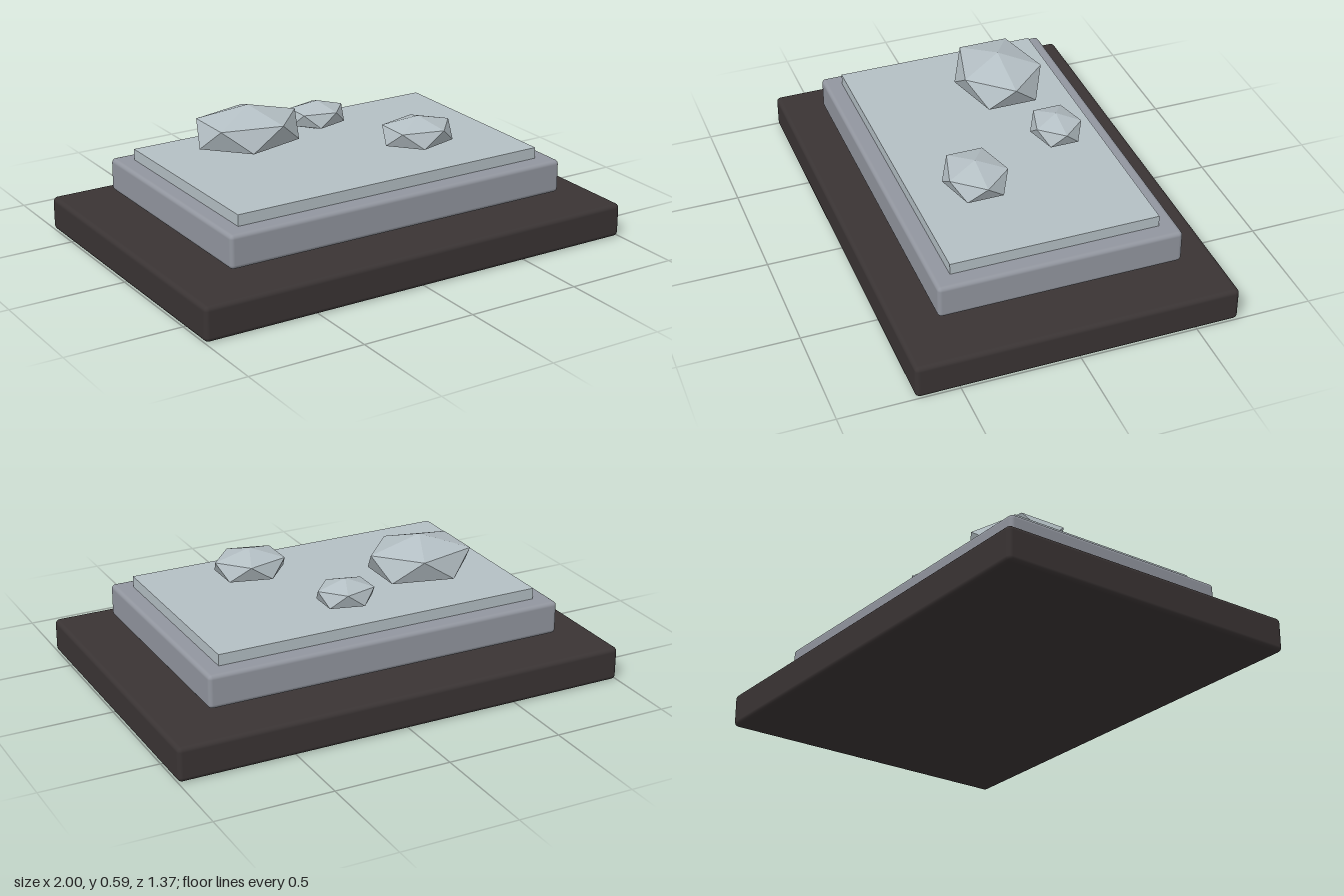
import * as THREE from 'three';
import { RoundedBoxGeometry } from 'three/addons/geometries/RoundedBoxGeometry.js';

const material = (name, color, flatShading = false) => {
  const m = new THREE.MeshStandardMaterial({ color, flatShading });
  m.name = name;
  return m;
};

// Upright icosahedron: poles on y, upper ring of five pointing at +x, lower ring at -x
function rockGeometry() {
  const r = 2 / Math.sqrt(5), h = 1 / Math.sqrt(5);
  const ring = (i, start, y) => {
    const a = start + (i * Math.PI * 2) / 5;
    return new THREE.Vector3(r * Math.cos(a), y, -r * Math.sin(a));
  };
  const top = new THREE.Vector3(0, 1, 0), bottom = new THREE.Vector3(0, -1, 0);
  const points = [];
  for (let i = 0; i < 5; i++) {
    const u0 = ring(i, 0, h), u1 = ring(i + 1, 0, h);
    const l0 = ring(i, Math.PI / 5, -h), l1 = ring(i + 1, Math.PI / 5, -h);
    points.push(top, u0, u1, u0, l0, u1, u1, l0, l1, bottom, l1, l0);
  }
  const g = new THREE.BufferGeometry().setFromPoints(points);
  g.computeVertexNormals();
  return g;
}

export function createModel() {
  const group = new THREE.Group();
  const wood = material('dark wood', 0x3a3434);
  const metal = material('grey tray', 0x92969f);
  const sand = material('pale sand', 0xb4bfc4);
  const stone = material('pale stone', 0xb4bfc4, true);

  const add = (name, geometry, mat, x, y, z) => {
    const mesh = new THREE.Mesh(geometry, mat);
    mesh.name = name;
    mesh.position.set(x, y, z);
    group.add(mesh);
    return mesh;
  };

  // Stacked slabs, the tray hovering just above the base
  add('base', new RoundedBoxGeometry(2, 0.147, 1.365, 2, 0.02), wood, 0, 0.0735, 0);
  add('tray', new RoundedBoxGeometry(1.59, 0.143, 1.035, 2, 0.018), metal, 0, 0.2615, 0);
  add('sandBed', new THREE.BoxGeometry(1.44, 0.06, 0.886), sand, 0, 0.351, 0);

  // Rocks resting on the sand: name, x, z, half sizes
  const rock = rockGeometry();
  const rocks = [
    ['largeRock', -0.335, -0.149, 0.256, 0.107, 0.203],
    ['mediumRock', 0.294, 0.184, 0.176, 0.0735, 0.147],
    ['smallRock', 0.07, -0.258, 0.14, 0.065, 0.117],
  ];
  for (const [name, x, z, sx, sy, sz] of rocks) {
    add(name, rock, stone, x, 0.38 + sy, z).scale.set(sx, sy, sz);
  }
  return group;
}
